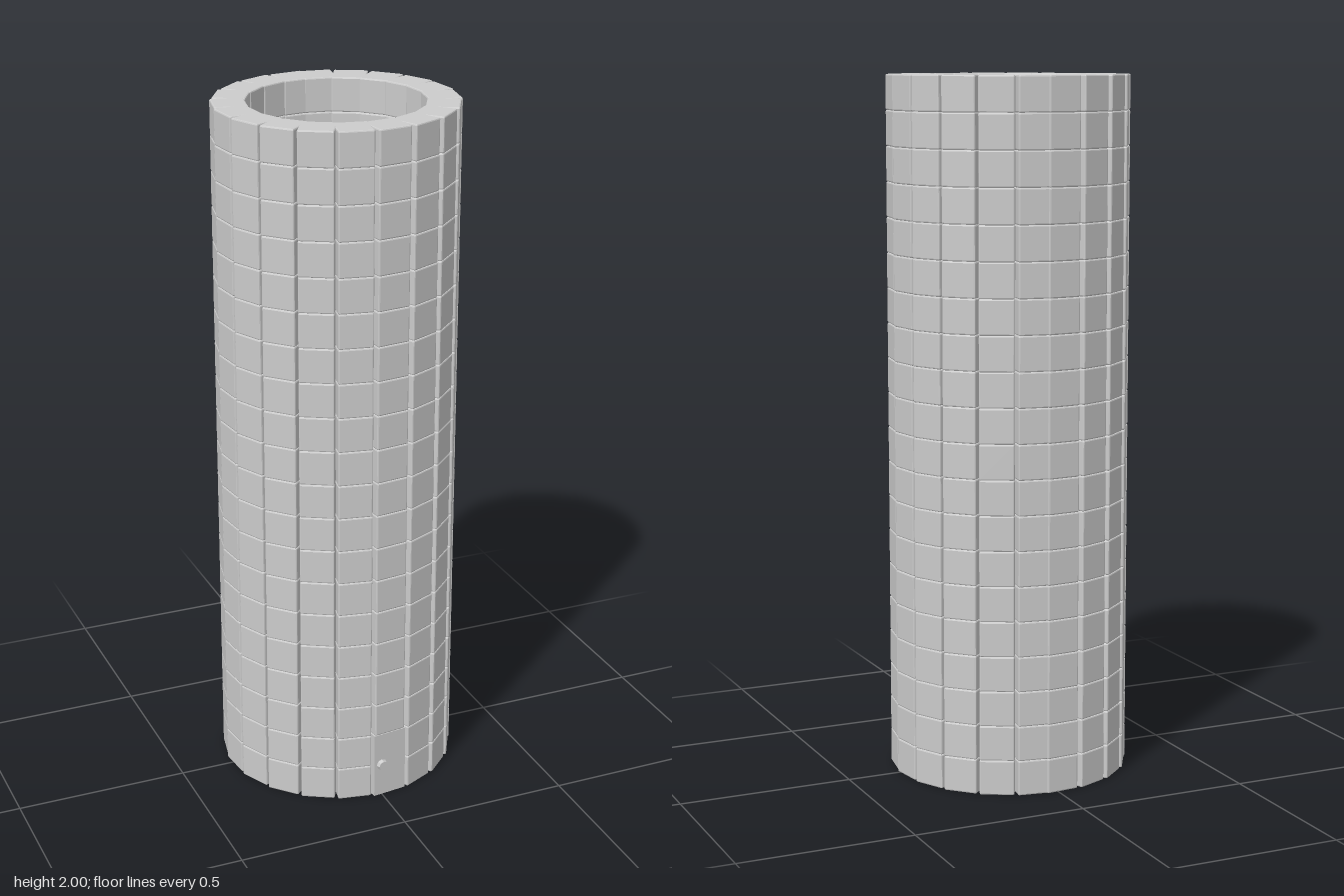
import * as THREE from 'three';
import { RoundedBoxGeometry } from 'three/addons/geometries/RoundedBoxGeometry.js';
import { mergeGeometries } from 'three/addons/utils/BufferGeometryUtils.js';

const ROWS = 20, BLOCKS = 20, DOOR = 10;
const STEP = 18.2, START = 182.4, SKEW = 2.7; // degrees
const OUTER = 0.34, DEPTH = 0.094, WIDTH = 0.098, ROW = 0.1;
const rad = THREE.MathUtils.degToRad;

// Slightly chamfered, flat-shaded block
function chamferBox(w, h, d, r) {
  const g = new RoundedBoxGeometry(w, h, d, 1, r);
  g.computeVertexNormals();
  return g;
}

// Placement of the k-th slot round the ring; every block is skewed a little
function slot(k, y) {
  const a = rad(START + STEP * k), b = a + rad(SKEW);
  const x = OUTER * Math.sin(a) - (DEPTH / 2) * Math.sin(b);
  const z = OUTER * Math.cos(a) - (DEPTH / 2) * Math.cos(b);
  return new THREE.Matrix4().makeRotationY(b).setPosition(x, y, z - 0.006);
}

export function createModel() {
  const model = new THREE.Group();
  model.name = 'tower';
  const mat = new THREE.MeshStandardMaterial({ color: 0xcccccc, flatShading: true });
  const block = chamferBox(WIDTH, ROW, DEPTH, 0.004);

  // Stacked rings of blocks, the lowest two leaving a doorway
  for (let row = 0; row < ROWS; row++) {
    const parts = [];
    for (let k = 0; k < BLOCKS; k++) {
      if (row < 2 && k === DOOR) continue;
      parts.push(block.clone().applyMatrix4(slot(k, (row + 0.5) * ROW)));
    }
    const ring = new THREE.Mesh(mergeGeometries(parts), mat);
    ring.name = 'blockRing' + (row + 1);
    model.add(ring);
  }

  // Door with a round knob, flush with the outer wall
  const door = new THREE.Group();
  door.name = 'door';
  const panel = new THREE.Mesh(new THREE.BoxGeometry(0.104, 2 * ROW, 0.03), mat);
  panel.name = 'doorPanel';
  panel.position.z = DEPTH / 2 - 0.015;
  const knob = new THREE.Mesh(new THREE.CylinderGeometry(0.014, 0.018, 0.014, 8), mat);
  knob.name = 'doorKnob';
  knob.rotation.x = Math.PI / 2;
  knob.position.set(-0.027, 0, DEPTH / 2 + 0.004);
  door.add(panel, knob);
  door.applyMatrix4(slot(DOOR, ROW));
  model.add(door);

  return model;
}
